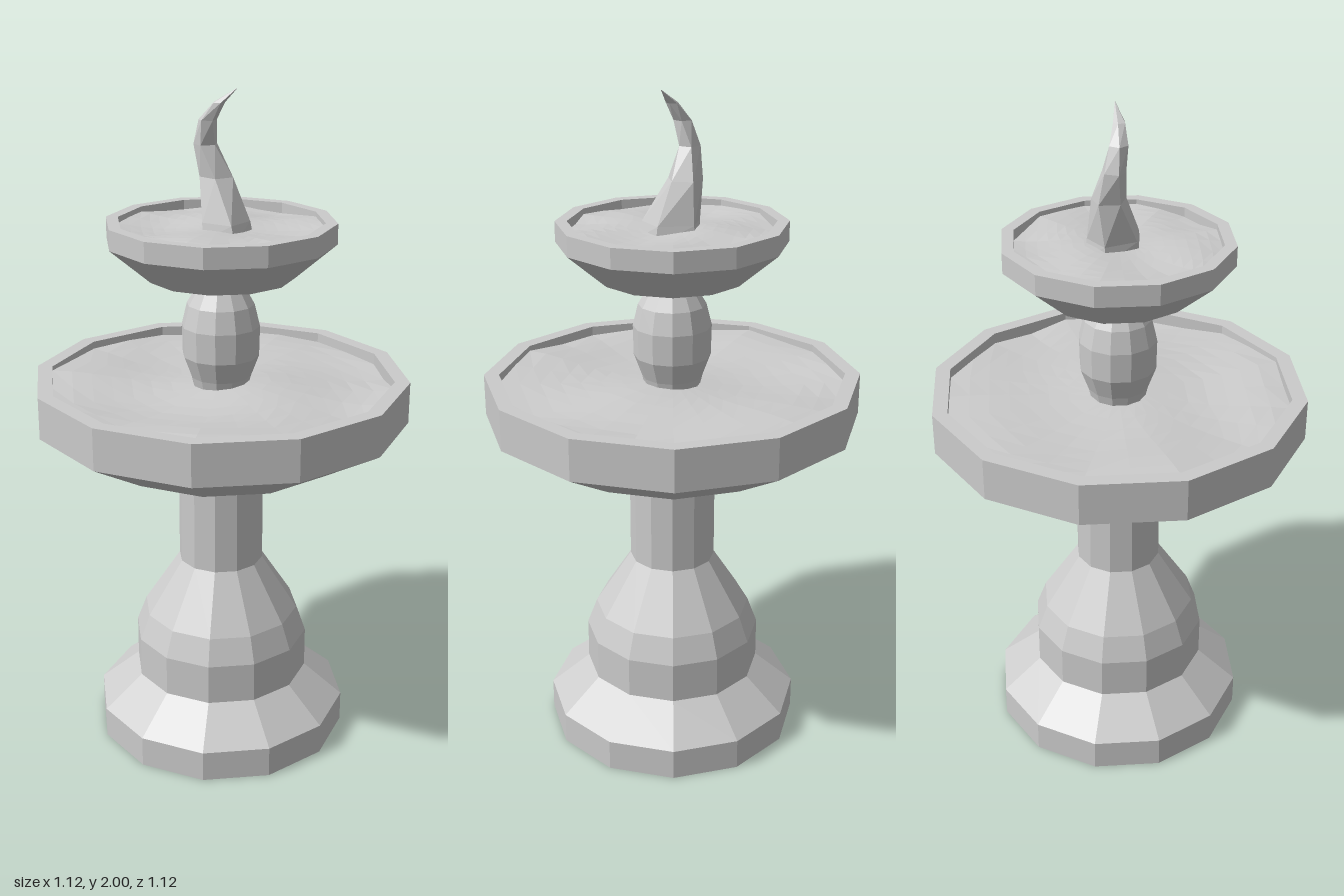
import * as THREE from 'three';

const SIDES = 12;

export function createModel() {
  const model = new THREE.Group();
  const stone = new THREE.MeshStandardMaterial({ color: 0xcccccc, flatShading: true });
  const waterMaterial = new THREE.MeshStandardMaterial({
    color: 0xcccccc, flatShading: true, side: THREE.DoubleSide,
  });

  function add(name, geometry, material) {
    const mesh = new THREE.Mesh(geometry, material);
    mesh.name = name;
    model.add(mesh);
  }

  // Turned stone part from [radius, height] pairs, bottom to top
  function turned(name, profile) {
    const points = profile.map(([r, y]) => new THREE.Vector2(r, y));
    add(name, new THREE.LatheGeometry(points, SIDES), stone);
  }

  // Rippled disc filling a twelve-sided basin
  function water(name, radius, level, height, phase) {
    const geometry = new THREE.RingGeometry(0.03, radius, SIDES * 2, 8);
    geometry.rotateX(-Math.PI / 2);
    const p = geometry.attributes.position;
    for (let i = 0; i < p.count; i++) {
      const spoke = i % (SIDES * 2 + 1);
      const k = spoke % 2 ? Math.cos(Math.PI / SIDES) : 1;
      const x = p.getX(i) * k, z = p.getZ(i) * k;
      const u = x / radius, v = z / radius;
      const wave = Math.sin(5 * u + 3 * v + phase) * 0.5
        + Math.sin(6 * v - 4 * u + phase * 2) * 0.35
        + Math.sin(9 * u * v + 3 * u) * 0.25;
      p.setXYZ(i, x, level + wave * height, z);
    }
    geometry.computeVertexNormals();
    add(name, geometry, waterMaterial);
  }

  // Foot, bell and column
  turned('pedestal', [
    [0, 0], [0.39, 0], [0.39, 0.095], [0.27, 0.195], [0.27, 0.32],
    [0.24, 0.40], [0.13, 0.57], [0.13, 0.89],
  ]);

  // Basins with a flat rim and an inner wall
  turned('lowerBasin', [
    [0, 0.88], [0.13, 0.88], [0.37, 0.93], [0.56, 1.04], [0.56, 1.165],
    [0.515, 1.165], [0.515, 1.07], [0, 1.05],
  ]);
  turned('baluster', [
    [0.07, 1.08], [0.09, 1.165], [0.114, 1.23], [0.116, 1.32], [0.10, 1.385], [0.07, 1.435],
  ]);
  turned('upperBasin', [
    [0, 1.43], [0.07, 1.43], [0.215, 1.467], [0.335, 1.57], [0.335, 1.63],
    [0.30, 1.63], [0.30, 1.565], [0, 1.54],
  ]);

  water('lowerWater', 0.515, 1.137, 0.015, 0.6);
  water('upperWater', 0.30, 1.61, 0.012, 2.1);

  // Twisting water spout: rings of [y, centre x, centre z, radius x, radius z, twist]
  const rings = [
    [1.58, 0.012, 0.005, 0.078, 0.098, 0.45],
    [1.63, 0.010, 0.000, 0.072, 0.088, 0.50],
    [1.75, 0.002, -0.035, 0.050, 0.052, 0.80],
    [1.84, -0.026, -0.048, 0.036, 0.032, 1.10],
    [1.91, -0.028, -0.030, 0.027, 0.027, 1.40],
    [1.96, -0.006, 0.000, 0.017, 0.018, 1.70],
    [2.00, 0.036, 0.030, 0.001, 0.001, 1.90],
  ];
  const n = 5, positions = [], index = [];
  rings.forEach(([y, cx, cz, rx, rz, twist], j) => {
    for (let i = 0; i < n; i++) {
      const a = twist + (i / n) * Math.PI * 2;
      positions.push(cx + rx * Math.cos(a), y, cz + rz * Math.sin(a));
      if (j === rings.length - 1) continue;
      const b = j * n + i, c = j * n + (i + 1) % n;
      index.push(b, b + n, c, c, b + n, c + n);
    }
  });
  const spout = new THREE.BufferGeometry();
  spout.setAttribute('position', new THREE.Float32BufferAttribute(positions, 3));
  spout.setIndex(index);
  spout.computeVertexNormals();
  add('waterSpout', spout, waterMaterial);

  return model;
}
